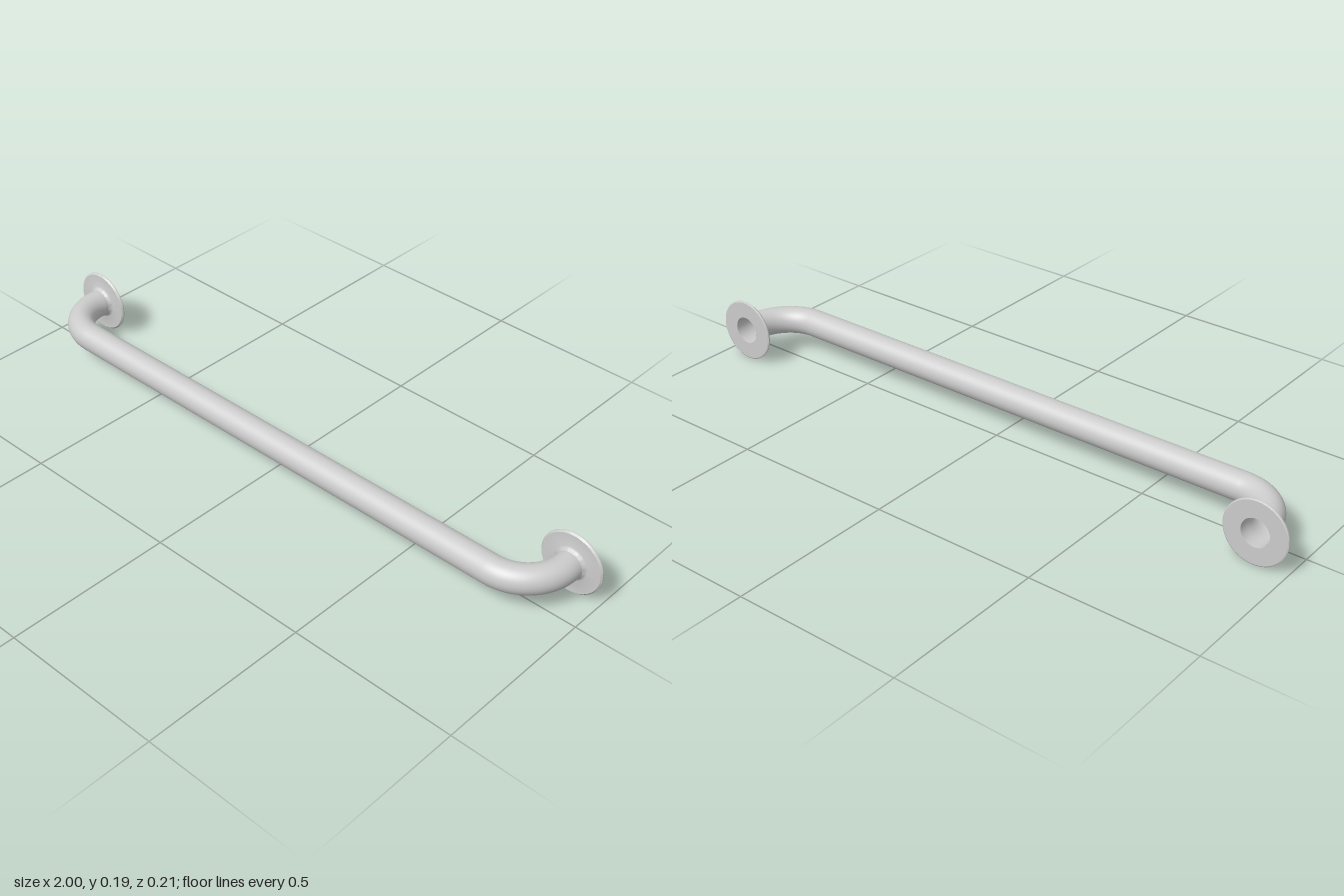
import * as THREE from 'three';
import { toCreasedNormals } from 'three/addons/utils/BufferGeometryUtils.js';

const TUBE = 0.042;    // tube radius
const BEND = 0.135;    // bend centreline radius
const END = 0.905;     // x of each mounting leg
const Y = 0.096;       // height of the bar axis
const FRONT = 0.063;   // z of the bar axis
const BACK = -0.106;   // wall plane

export function createModel() {
  const group = new THREE.Group();
  group.name = 'grabBar';
  const material = new THREE.MeshStandardMaterial({ color: 0xcccccc, side: THREE.DoubleSide });

  const add = (name, geometry, x, z) => {
    const mesh = new THREE.Mesh(geometry, material);
    mesh.name = name;
    mesh.position.set(x, Y, z);
    group.add(mesh);
  };

  const bendX = END - BEND;
  const bendZ = FRONT - BEND;

  // Long straight grip
  const grip = new THREE.CylinderGeometry(TUBE, TUBE, bendX * 2, 48, 1, true).rotateZ(Math.PI / 2);
  add('grip', grip, 0, FRONT);

  // Wall flange with bevelled rim and a small weld fillet at the tube
  const profile = [
    [TUBE, 0], [0.092, 0], [0.0955, 0.002], [0.0955, 0.005], [0.091, 0.01],
    [0.052, 0.01], [0.047, 0.012], [0.044, 0.015], [TUBE, 0.02],
  ].map(([r, h]) => new THREE.Vector2(r, h));
  const flange = toCreasedNormals(new THREE.LatheGeometry(profile, 64).rotateX(Math.PI / 2), 0.5);

  // Open leg between the bend and the wall
  const legLength = bendZ - BACK;
  const leg = new THREE.CylinderGeometry(TUBE, TUBE, legLength, 48, 1, true).rotateX(Math.PI / 2);

  for (const side of [1, -1]) {
    const label = side > 0 ? 'left' : 'right';
    const bend = new THREE.TorusGeometry(BEND, TUBE, 48, 24, Math.PI / 2).rotateX(Math.PI / 2);
    if (side < 0) bend.rotateY(-Math.PI / 2);
    add(label + 'Bend', bend, side * bendX, bendZ);
    add(label + 'Leg', leg, side * END, BACK + legLength / 2);
    add(label + 'Flange', flange, side * END, BACK);
  }
  return group;
}
